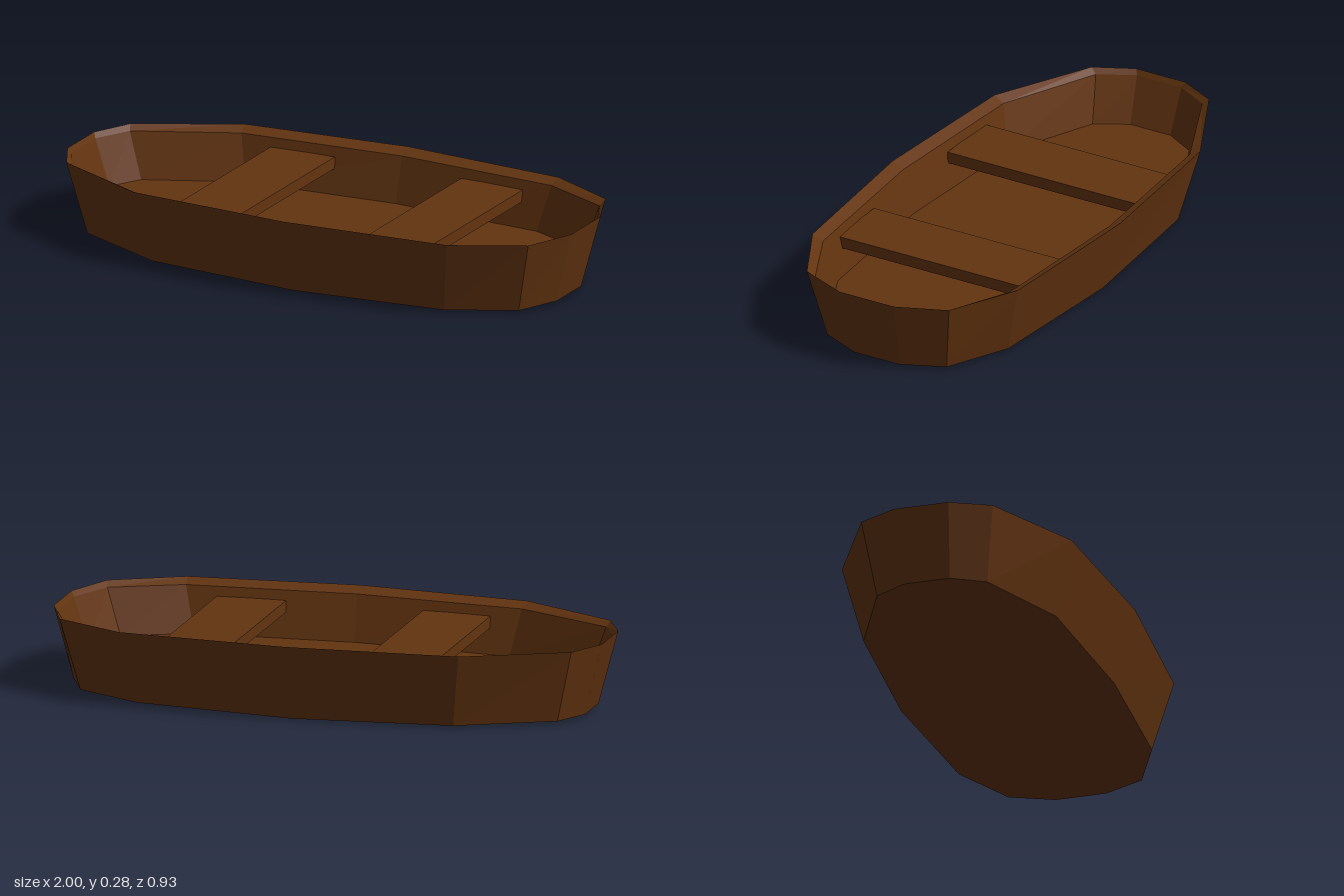
import * as THREE from 'three';

const wood = new THREE.MeshStandardMaterial({ color: 0x633410, flatShading: true });

// Half of the rim outline as [x, z], bow to stern; mirrored across z
const half = [[1, 0.11], [0.925, 0.29], [0.67, 0.42], [0.05, 0.465], [-0.57, 0.42], [-0.93, 0.24], [-1, 0.1]];
const outline = [...half.map(([x, z]) => [x, -z]), ...half.slice().reverse()];

// Hull sections as [x scale, z scale, y, rise towards the ends]
const sections = [
  [0, 0, 0, 0],               // middle of the bottom
  [0.933, 0.84, 0, 0.012],    // bottom edge
  [1, 1, 0.277, -0.003],      // rim
  [0.99, 0.905, 0.255, 0],    // inner lip of the gunwale
  [0.93, 0.82, 0.09, 0],      // floor edge
  [0, 0, 0.09, 0],            // middle of the floor
];

function hullGeometry() {
  const point = ([sx, sz, y, rise], i) => {
    const [x, z] = outline[i % outline.length];
    return [x * sx, y + rise * Math.abs(x), z * sz];
  };
  const positions = [];
  for (let s = 0; s < sections.length - 1; s++) {
    const lower = sections[s], upper = sections[s + 1];
    for (let i = 0; i < outline.length; i++) {
      const a = point(lower, i), b = point(lower, i + 1);
      const c = point(upper, i + 1), d = point(upper, i);
      if (lower[0] > 0) positions.push(...a, ...b, ...c);
      if (upper[0] > 0) positions.push(...a, ...c, ...d);
    }
  }
  const geometry = new THREE.BufferGeometry();
  geometry.setAttribute('position', new THREE.Float32BufferAttribute(positions, 3));
  geometry.computeVertexNormals();
  return geometry;
}

export function createModel() {
  const boat = new THREE.Group();
  boat.name = 'rowingBoat';

  const hull = new THREE.Mesh(hullGeometry(), wood);
  hull.name = 'hull';
  boat.add(hull);

  // Bench planks across the hull
  [['rearBench', -0.325], ['frontBench', 0.425]].forEach(([name, x]) => {
    const bench = new THREE.Mesh(new THREE.BoxGeometry(0.25, 0.042, 0.78), wood);
    bench.name = name;
    bench.position.set(x, 0.2, 0);
    boat.add(bench);
  });

  return boat;
}
